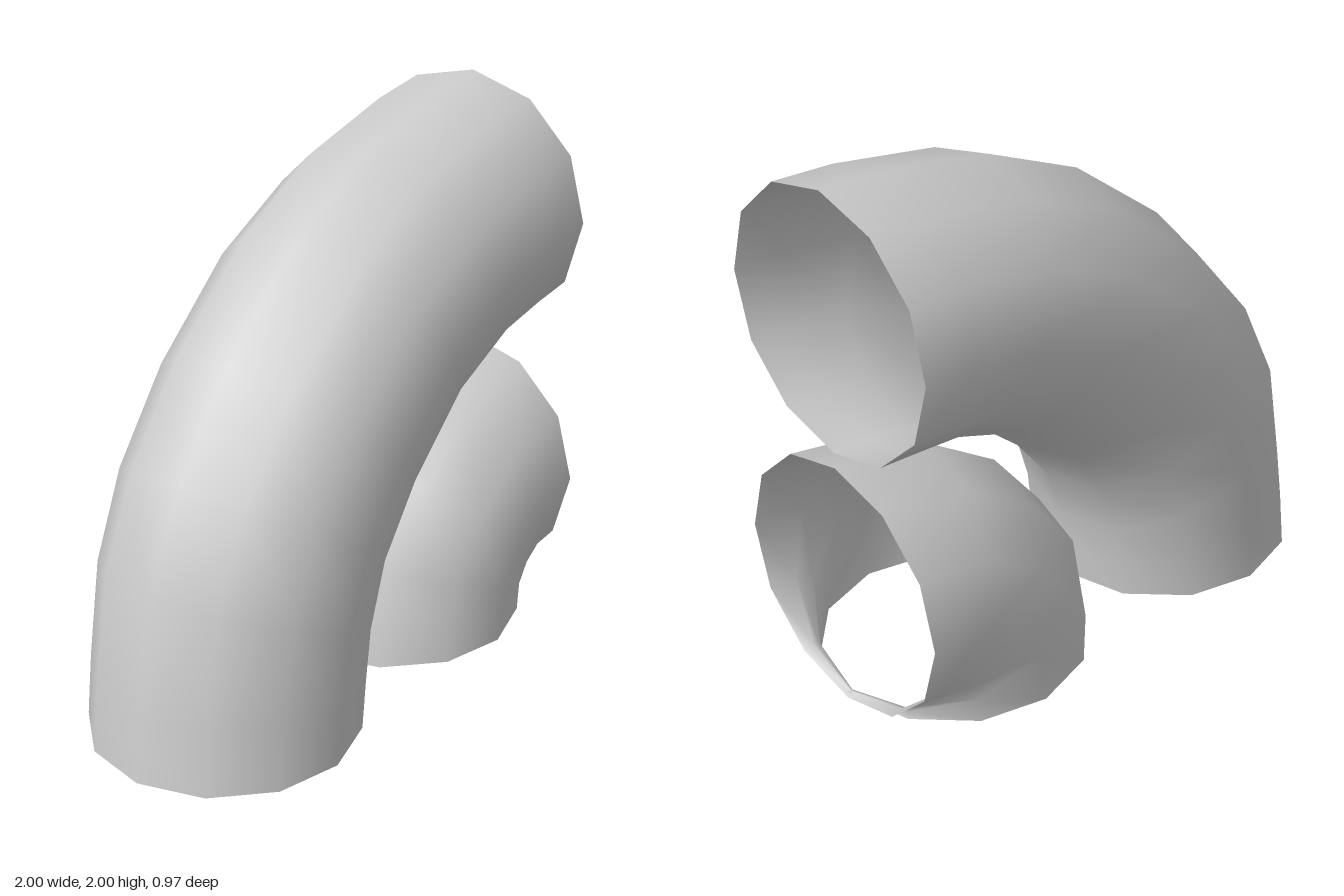
import * as THREE from 'three';

const SIDES = 12;
const RADIUS = 0.485;

// Open tube skinned over rings; each ring is [outerX, outerY, innerX, innerY]
function bentPipe(name, rings) {
  const positions = [];
  const index = [];
  rings.forEach(([ox, oy, ix, iy], r) => {
    for (let s = 0; s < SIDES; s++) {
      const a = (s / SIDES) * Math.PI * 2;
      const k = (1 + Math.cos(a)) / 2; // 1 on the outside of the bend, 0 on the inside
      positions.push(ix + (ox - ix) * k, iy + (oy - iy) * k, RADIUS * Math.sin(a));
      if (r === rings.length - 1) continue;
      const p = r * SIDES + s;
      const q = r * SIDES + (s + 1) % SIDES;
      index.push(p, q, p + SIDES, q, q + SIDES, p + SIDES);
    }
  });
  const geometry = new THREE.BufferGeometry();
  geometry.setAttribute('position', new THREE.Float32BufferAttribute(positions, 3));
  geometry.setIndex(index);
  geometry.computeVertexNormals();
  const mesh = new THREE.Mesh(geometry, new THREE.MeshStandardMaterial({
    color: 0xcccccc, side: THREE.DoubleSide,
  }));
  mesh.name = name;
  return mesh;
}

export function createModel() {
  const group = new THREE.Group();
  group.name = 'nestedPipeBends';

  // Wide outer bend
  group.add(bentPipe('outerPipeBend', [
    [-1, 0.015, -0.03, 0.015],
    [-0.97, 0.27, -0.018, 0.15],
    [-0.9, 0.69, -0.005, 0.29],
    [-0.74, 1.03, 0.05, 0.49],
    [-0.47, 1.37, 0.2, 0.69],
    [-0.08, 1.69, 0.44, 0.905],
    [0.31, 1.88, 0.7, 1.005],
    [0.75, 1.975, 0.86, 1.018],
    [1, 2, 1, 1.03],
  ]));

  // Tight inner bend, pinched almost to a point on its inside
  group.add(bentPipe('innerPipeBend', [
    [0.03, 0.015, 0.995, 0.015],
    [0.1, 0.41, 0.985, 0.02],
    [0.31, 0.68, 0.98, 0.025],
    [0.6, 0.88, 0.985, 0.02],
    [1, 0.97, 1, 0],
  ]));
  return group;
}
